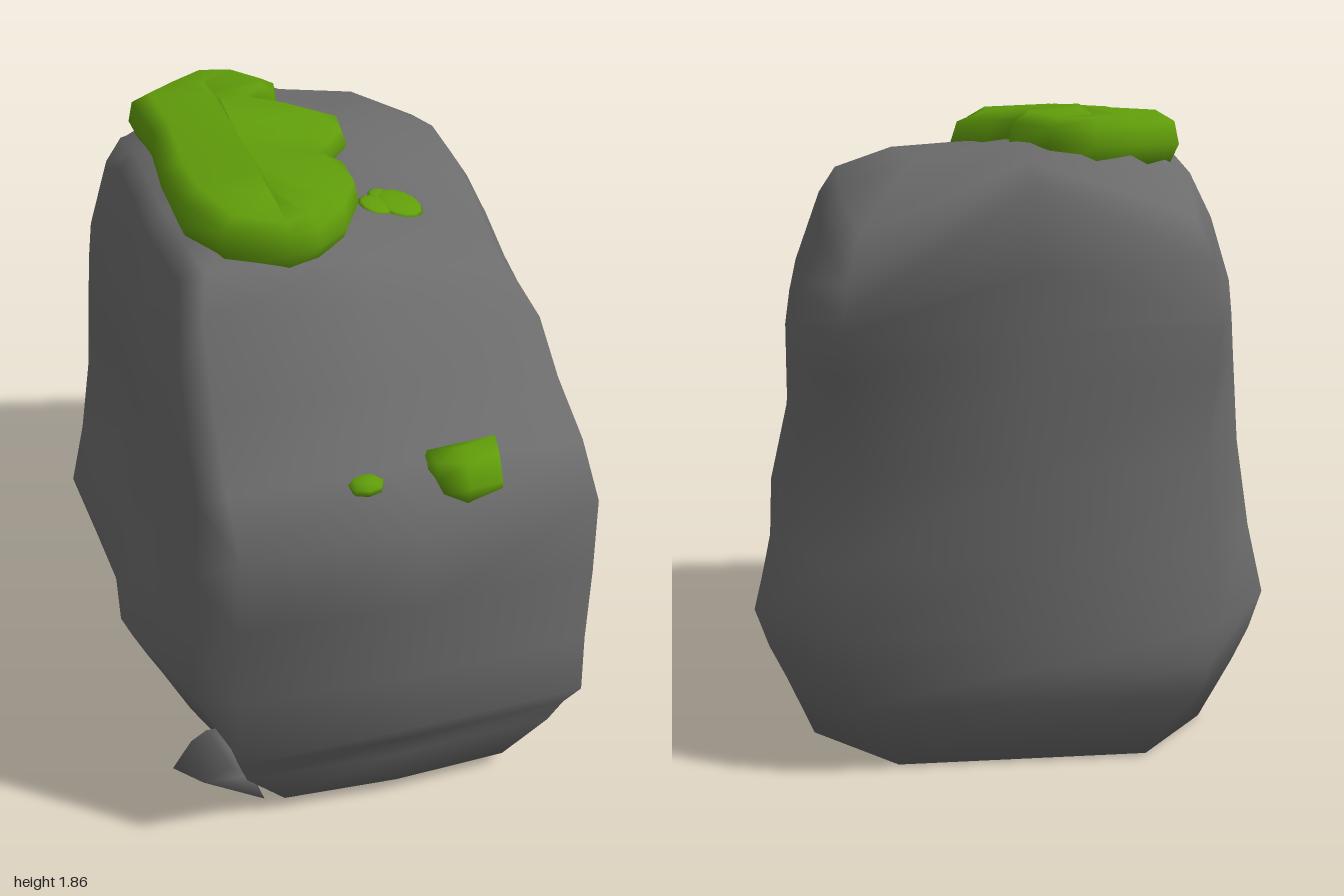
import * as THREE from 'three';

const rockMat = new THREE.MeshStandardMaterial({ color: 0x6c6c6c });
rockMat.name = 'grey stone';
const mossMat = new THREE.MeshStandardMaterial({ color: 0x609c0a });
mossMat.name = 'green moss';

// Joins rings of equal length, bottom to top, and closes both ends with a centre point
function loft(rings, bottom, top) {
  const n = rings[0].length;
  const pos = [...rings.flat(2), ...bottom, ...top];
  const lo = rings.length * n, hi = lo + 1, last = lo - n;
  const index = [];
  for (let c = 0; c < n; c++) {
    const d = (c + 1) % n;
    for (let r = 0; r < rings.length - 1; r++) {
      const a = r * n + c, b = r * n + d;
      index.push(a, b, b + n, a, b + n, a + n);
    }
    index.push(d, c, lo, last + c, last + d, hi);
  }
  const g = new THREE.BufferGeometry();
  g.setAttribute('position', new THREE.Float32BufferAttribute(pos, 3));
  g.setIndex(index);
  g.computeVertexNormals();
  return g;
}

function add(group, name, geometry, material) {
  const mesh = new THREE.Mesh(geometry, material);
  mesh.name = name;
  group.add(mesh);
  return mesh;
}

// Hollows in the stone: centre, radius, inward push
const dents = [
  { at: [0.71, 0.42, 0.33], r: 0.09, push: [-0.22, 0, 0] },
  { at: [0.64, 0.9, 0.33], r: 0.12, push: [-0.05, 0, 0] },
  { at: [0.66, 0.88, -0.62], r: 0.14, push: [-0.05, 0, 0] },
  { at: [0.53, 0.88, -0.97], r: 0.18, push: [-0.06, 0, 0.01] },
  { at: [-0.53, 0.88, -0.97], r: 0.18, push: [0.05, 0, 0.01] },
  { at: [-0.66, 0.9, -0.3], r: 0.15, push: [0.06, 0, 0] },
  { at: [-0.64, 1.0, 0.35], r: 0.18, push: [0.06, 0, 0] },
  { at: [-0.64, 0.25, 0.6], r: 0.16, push: [0.08, 0, 0] },
  { at: [0, 1.26, 0.87], r: 0.1, push: [0, 0, -0.03] },
];

function boulder() {
  // height, half width, corner half width, front z, back z
  const levels = [
    [0.0, 0.59, 0.36, 0.81, -0.83],
    [0.2, 0.67, 0.49, 0.85, -0.93],
    [0.3, 0.72, 0.52, 0.89, -0.94],
    [0.41, 0.76, 0.54, 0.965, -0.95],
    [0.62, 0.71, 0.53, 0.975, -0.96],
    [0.88, 0.67, 0.53, 0.985, -0.97],
    [1.14, 0.65, 0.52, 1.0, -0.98],
    [1.26, 0.635, 0.52, 0.86, -0.985],
    [1.42, 0.615, 0.51, 0.68, -0.99],
    [1.62, 0.55, 0.5, 0.54, -1.0],
    [1.69, 0.5, 0.46, 0.4, -0.9],
    [1.74, 0.33, 0.3, 0.18, -0.72],
  ];
  // side outline: share of the depth, share of the bulge
  const side = [[0.012, 0], [0.16, 0.42], [0.33, 0.8], [0.39, 0.93], [0.5, 0.82], [0.65, 0.9], [0.82, 1], [1, 0]];
  const rings = levels.map(([y, w, corner, zf, zb], row) => {
    const half = side.map(([t, s]) => [corner + (w - corner) * s, zf + (zb - zf) * t]);
    const mirrored = half.map(([x, z]) => [-x, z]).reverse();
    return [[0, zf], ...half, [0, zb], ...mirrored].map(([x, z]) => {
      let h = y;
      if (row === 0) {
        // foot rises to the front and is worn in along the flanks
        h += 0.07 * Math.max(0, z);
        x *= 1 - 0.14 * Math.exp(-(((z + 0.12) / 0.2) ** 2));
      }
      if (row > 8) h += 0.03 * Math.max(0, -z) - 0.04 * x;
      // worn upper corners: both at the back, one at the front
      if (row > 7) {
        const amount = row === 8 ? 0.5 : 1;
        h -= amount * 0.23 * THREE.MathUtils.smoothstep(-z, 0.5, 1) * (x / 0.5) ** 2;
        h -= amount * 0.11 * THREE.MathUtils.smoothstep(z, -0.3, 0.2) * Math.max(0, x / 0.5);
      }
      const p = [x, h, z];
      for (const d of dents) {
        const dist = Math.hypot(x - d.at[0], h - d.at[1], z - d.at[2]);
        const k = Math.exp(-((dist / d.r) ** 2));
        d.push.forEach((v, i) => { p[i] += v * k; });
      }
      return p;
    });
  });
  return loft(rings, [0, 0.0, 0], [0, 1.76, -0.3]);
}

// Lumpy moss pad drawn inward to a spine
function mossPad() {
  const outline = [[-0.22, 0.41], [-0.12, 0.38], [-0.02, 0.3], [0.06, 0.15], [0.07, 0], [-0.02, -0.07],
    [0.07, -0.16], [0.14, -0.24], [0.15, -0.33], [0.05, -0.4], [-0.1, -0.48], [0.0, -0.56], [0.02, -0.64],
    [-0.07, -0.79], [-0.2, -0.82], [-0.35, -0.72], [-0.48, -0.61], [-0.46, -0.35], [-0.48, -0.1],
    [-0.48, 0.16], [-0.4, 0.34]];
  const ring = (k, y, lift) => outline.map(([x, z]) => [
    -0.22 + (x + 0.22) * k,
    y + lift * Math.cos(z * 9 + 4.5) - 0.03 * Math.max(0, z),
    -0.2 + (z + 0.2) * (0.75 + 0.25 * k),
  ]);
  return loft([ring(0.9, 1.69, 0), ring(1, 1.75, 0), ring(0.95, 1.81, 0.01), ring(0.75, 1.84, 0.014),
    ring(0.02, 1.85, 0.014)], [-0.22, 1.69, -0.2], [-0.22, 1.85, -0.2]);
}

export function createModel() {
  const group = new THREE.Group();
  add(group, 'boulder', boulder(), rockMat);

  // Chipped splinter near the foot
  const chip = loft([[[-0.6, 0.12, 0.72], [-0.42, 0.05, 0.77], [-0.45, 0.08, 0.55], [-0.6, 0.14, 0.55]],
    [[-0.52, 0.2, 0.76], [-0.47, 0.19, 0.8], [-0.5, 0.22, 0.6], [-0.56, 0.22, 0.6]]],
  [-0.67, 0.08, 0.59], [-0.5, 0.22, 0.7]);
  add(group, 'splinter', chip, rockMat);

  add(group, 'mossPad', mossPad(), mossMat);

  // Small flat moss patch beside the pad, lying on the slope
  const patches = new THREE.Group();
  patches.name = 'mossPatch';
  for (const [x, z, r] of [[0.02, 0, 0.08], [-0.06, 0.02, 0.055], [-0.02, -0.03, 0.05]]) {
    const patch = add(patches, 'mossSpot', new THREE.SphereGeometry(r, 12, 6), mossMat);
    patch.scale.y = 0.25;
    patch.position.set(x, 0, z);
  }
  patches.position.set(0.18, 1.7, 0.1);
  patches.rotation.set(0.13, 0, -0.25);
  group.add(patches);

  // Moss tufts on the sloping front
  const tuft = loft([
    [[0.08, 1.2, 0.91], [0.14, 1.18, 0.94], [0.25, 1.18, 0.92], [0.25, 1.18, 0.79], [0.08, 1.2, 0.79]],
    [[0.06, 1.25, 0.91], [0.14, 1.24, 0.96], [0.25, 1.22, 0.92], [0.28, 1.26, 0.79], [0.05, 1.25, 0.81]],
    [[0.07, 1.29, 0.88], [0.14, 1.3, 0.92], [0.25, 1.29, 0.88], [0.27, 1.29, 0.79], [0.06, 1.29, 0.81]],
  ], [0.17, 1.18, 0.86], [0.15, 1.31, 0.85]);
  add(group, 'largeTuft', tuft, mossMat);
  const small = add(group, 'smallTuft', new THREE.SphereGeometry(0.055, 8, 5), mossMat);
  small.scale.set(1, 0.5, 0.85);
  small.position.set(-0.13, 1.235, 0.85);
  return group;
}
